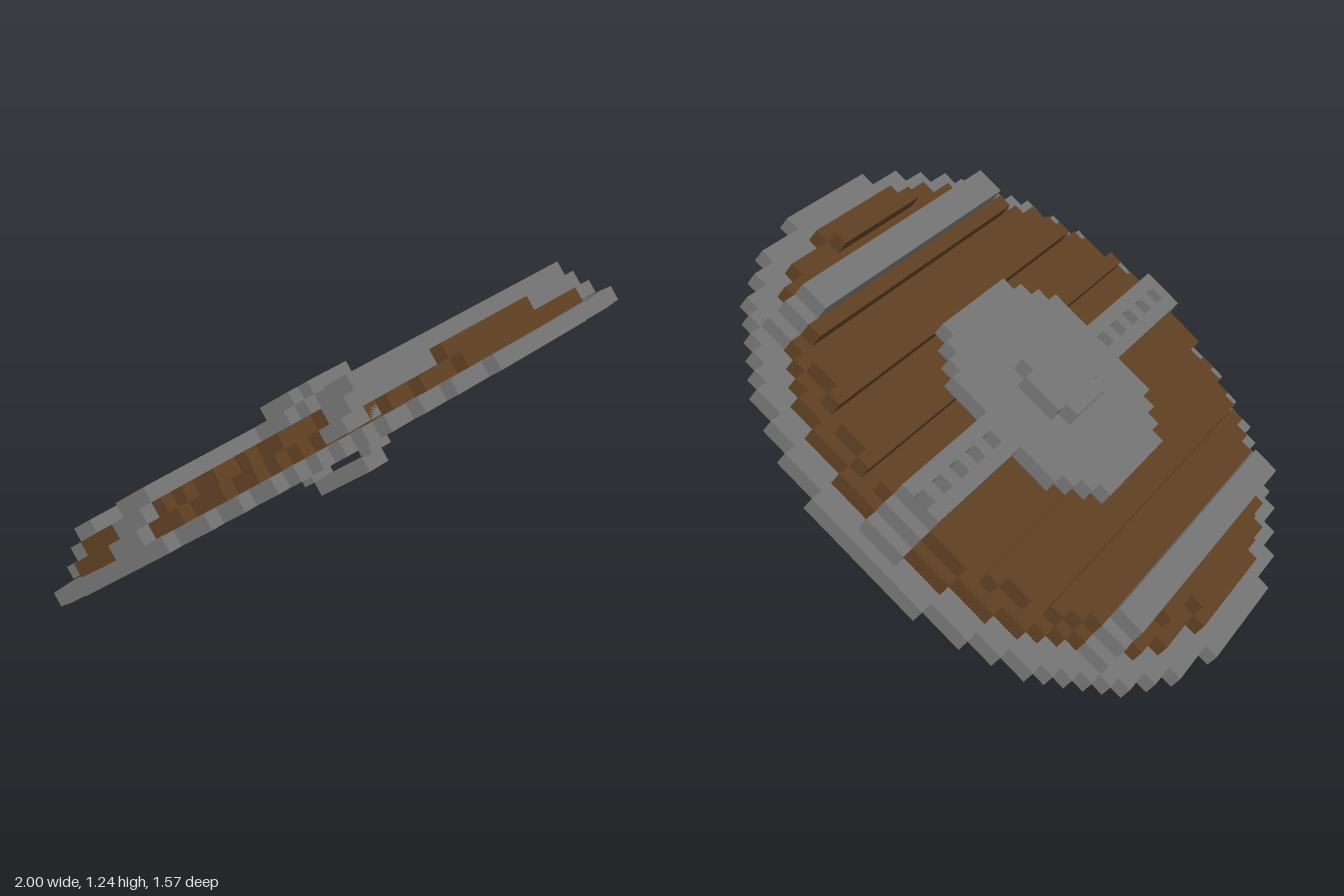
import * as THREE from 'three';

const U = 0.05; // one block

export function createModel() {
  const iron = new THREE.MeshStandardMaterial({ color: 0x757575 });
  iron.name = 'iron grey';
  const wood = new THREE.MeshStandardMaterial({ color: 0x604023 });
  wood.name = 'plank brown';

  // The shield lies in its own frame: x across, y outward from the face, z along its height
  const shield = new THREE.Group();
  shield.name = 'tiltedShield';

  // Stepped disc: each row gives its [left, right] extent in blocks
  const disc = (R) => (r) => {
    const c = Math.floor(Math.sqrt(R * R - r * r));
    return [-(c + 1), Math.abs(r) === Math.floor(R) ? c : c + 1];
  };
  const even = (f) => (r) => [-f(r), f(r)];

  // Closed stepped outline over rows lo..hi
  const outline = (extent, lo, hi) => {
    const left = [], right = [];
    for (let r = lo; r <= hi; r++) {
      const [a, b] = extent(r);
      for (const e of [r - 0.5, r + 0.5]) {
        left.push(new THREE.Vector2(a * U, e * U));
        right.push(new THREE.Vector2(b * U, e * U));
      }
    }
    const pts = [...right, ...left.reverse()];
    // drop points in the middle of straight runs
    return pts.filter((p, i) => {
      const q = pts[(i + pts.length - 1) % pts.length], n = pts[(i + 1) % pts.length];
      return Math.abs((p.x - q.x) * (n.y - p.y) - (p.y - q.y) * (n.x - p.x)) > 1e-9;
    });
  };

  // Slab between heights w0 and w1 above the back of the shield
  const slab = (name, mat, pts, w0, w1, holes = []) => {
    const shape = new THREE.Shape(pts);
    for (const h of holes) shape.holes.push(new THREE.Path(h));
    const geo = new THREE.ExtrudeGeometry(shape, { depth: w1 - w0, bevelEnabled: false });
    geo.rotateX(Math.PI / 2).translate(0, w1, 0);
    const mesh = new THREE.Mesh(geo, mat);
    mesh.name = name;
    shield.add(mesh);
  };

  const box = (name, x0, x1, w0, w1, v0, v1) => {
    const mesh = new THREE.Mesh(new THREE.BoxGeometry(x1 - x0, w1 - w0, v1 - v0), iron);
    mesh.position.set((x0 + x1) / 2, (w0 + w1) / 2, (v0 + v1) / 2);
    mesh.name = name;
    shield.add(mesh);
  };

  const core = even((r) => (Math.abs(r) === 2 ? 2 : 3));
  const corePts = outline(core, -2, 2);
  const basePts = outline(disc(17.5), -17, 17);

  // Rim and wooden backing with a hand hole
  slab('rim', iron, outline(disc(19.5), -19, 19), 0, 0.05, [basePts]);
  slab('backing', wood, basePts, 0.05, 0.1, [corePts]);

  // Planks, with one-block grooves between them
  const planks = [[-16, -15], [-12, -10], [-8, -6], [-4, -2], [2, 2], [4, 6], [8, 10], [12, 12], [16, 16]];
  for (const [lo, hi] of planks) slab('plank', wood, outline(disc(16.5), lo, hi), 0.1, 0.15);

  // Iron bands near both ends, stepping down at their tips
  for (const v of [-0.725, 0.625]) {
    box('bandTop', -0.55, 0.55, 0.15, 0.2, v, v + 0.1);
    box('bandMiddle', -0.6, 0.6, 0.1, 0.15, v, v + 0.1);
    box('bandFoot', -0.65, 0.65, 0.055, 0.1, v, v + 0.1);
  }

  // Crossbar with a row of square sockets on each side
  const sockets = [];
  for (let k = 0; k < 5; k++) {
    for (const x of [-0.8 + k * 0.1, 0.4 + k * 0.1]) {
      sockets.push([[0, -1], [1, -1], [1, 1], [0, 1]].map(([a, b]) => new THREE.Vector2(x + a * U, b * U / 2)));
    }
  }
  slab('crossbar', iron, outline(even(() => 17), -1, 1), 0.15, 0.2, sockets);
  box('crossbarBase', -0.9, 0.9, 0.1, 0.15, -0.075, 0.075);
  for (const x of [-0.95, 0.9]) box('crossbarTip', x, x + U, 0.05, 0.1, -0.075, 0.075);

  // Central boss and its raised core
  const bossWidth = even((r) => Math.min(7, Math.floor(Math.sqrt(58.5 - r * r)) + 1));
  slab('boss', iron, outline(bossWidth, -7, 7), 0.15, 0.2);
  slab('bossCore', iron, corePts, 0.098, 0.25);

  // Spine and hand grip on the back
  box('spine', -0.05, 0.05, 0, 0.05, -0.875, 0.875);
  for (const v of [-0.175, 0.125]) box('gripPost', -0.05, 0.05, -0.05, 0, v, v + U);
  box('grip', -0.05, 0.05, -0.1, -0.05, -0.125, 0.125);

  shield.rotation.x = -0.661;
  shield.position.set(0, 0.5986, 0.0145);

  const model = new THREE.Group();
  model.name = 'roundShield';
  model.add(shield);
  return model;
}
